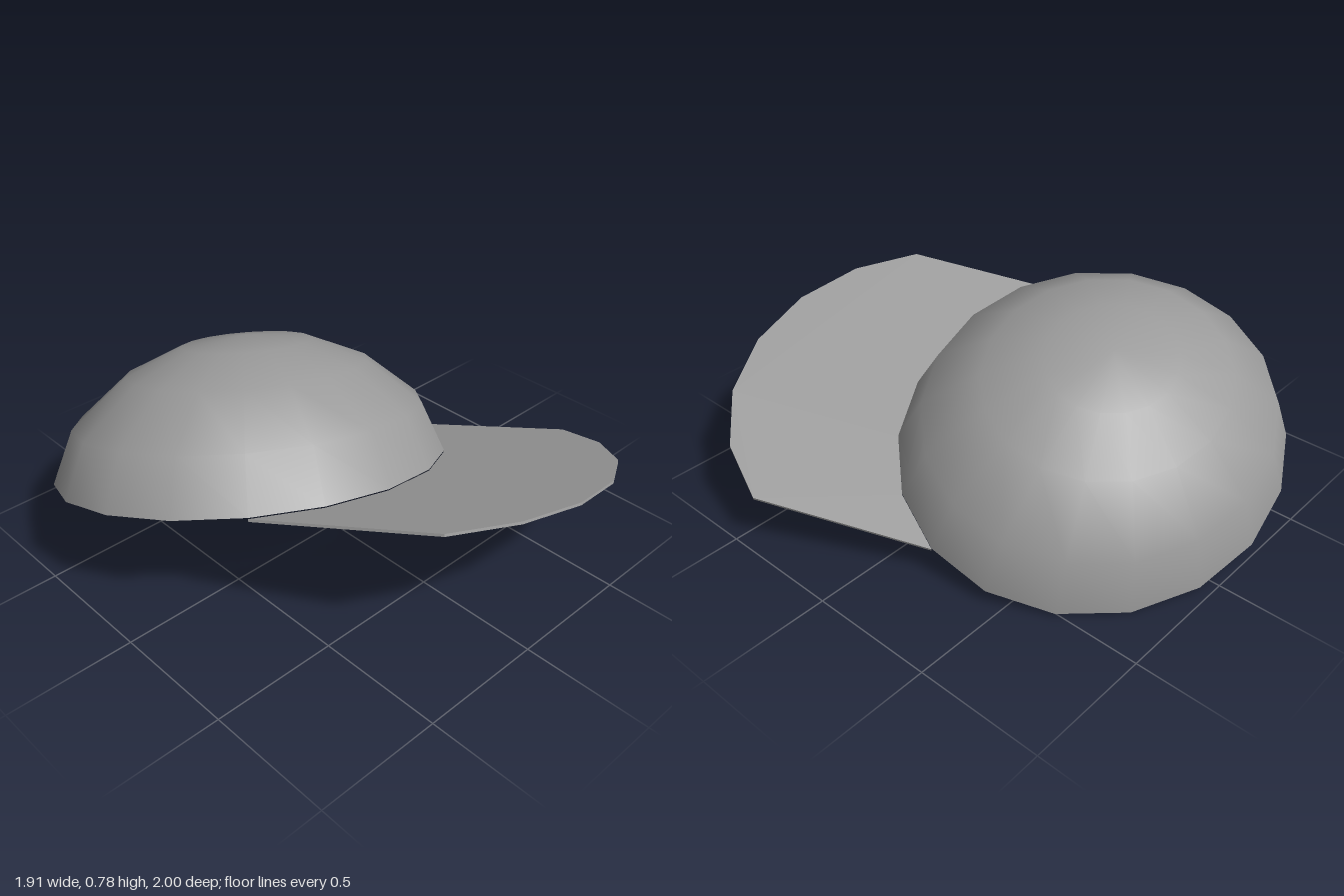
import * as THREE from 'three';
import { toCreasedNormals } from 'three/addons/utils/BufferGeometryUtils.js';

const SIDES = 18;
const RIM_X = 0.817, RIM_Z = 0.7265, HEIGHT = 0.5;

export function createModel() {
  const group = new THREE.Group();
  const material = new THREE.MeshStandardMaterial({ color: 0x9b9b9b, side: THREE.DoubleSide });

  // Cap frame: origin at the rim centre, tilted back and to one side
  const cap = new THREE.Group();
  cap.name = 'cap';
  const zAxis = new THREE.Vector3(0.05, 0.188, 0.7).normalize();
  const yAxis = zAxis.clone().cross(new THREE.Vector3(0.8, -0.166, -0.019)).normalize();
  const xAxis = yAxis.clone().cross(zAxis);
  cap.quaternion.setFromRotationMatrix(new THREE.Matrix4().makeBasis(xAxis, yAxis, zAxis));
  cap.position.set(-0.155, 0.251, -0.3);
  group.add(cap);

  // Crown: thin shell, inner profile down to the rim and outer profile back up
  const outer = [[1, 0], [0.89, 0.405], [0.615, 0.76], [0.33, 0.95], [0, 1.01]]
    .map(([r, y]) => new THREE.Vector2(r, y));
  const inner = outer.map((p) => p.clone().multiplyScalar(0.988)).reverse();
  const crownGeometry = new THREE.LatheGeometry([...inner, ...outer], SIDES);
  crownGeometry.scale(RIM_X, HEIGHT, RIM_Z);
  const crown = new THREE.Mesh(toCreasedNormals(crownGeometry, 1), material);
  crown.name = 'crown';
  cap.add(crown);

  // Brim: the front arc of the rim swept forward in the rim plane
  const near = [];
  for (let k = -2; k <= 4; k++) {
    const t = (k / SIDES) * Math.PI * 2;
    near.push(new THREE.Vector2(Math.sin(t) * RIM_X, -Math.cos(t) * RIM_Z));
  }
  const far = near.map((p) => new THREE.Vector2(p.x + 0.28, p.y - 0.624)).reverse();
  const brimGeometry = new THREE.ExtrudeGeometry(new THREE.Shape([...near, ...far]), {
    depth: 0.01, bevelEnabled: false,
  });
  brimGeometry.rotateX(-Math.PI / 2).translate(0, -0.014, 0);
  const brim = new THREE.Mesh(brimGeometry, material);
  brim.name = 'brim';
  cap.add(brim);

  return group;
}
